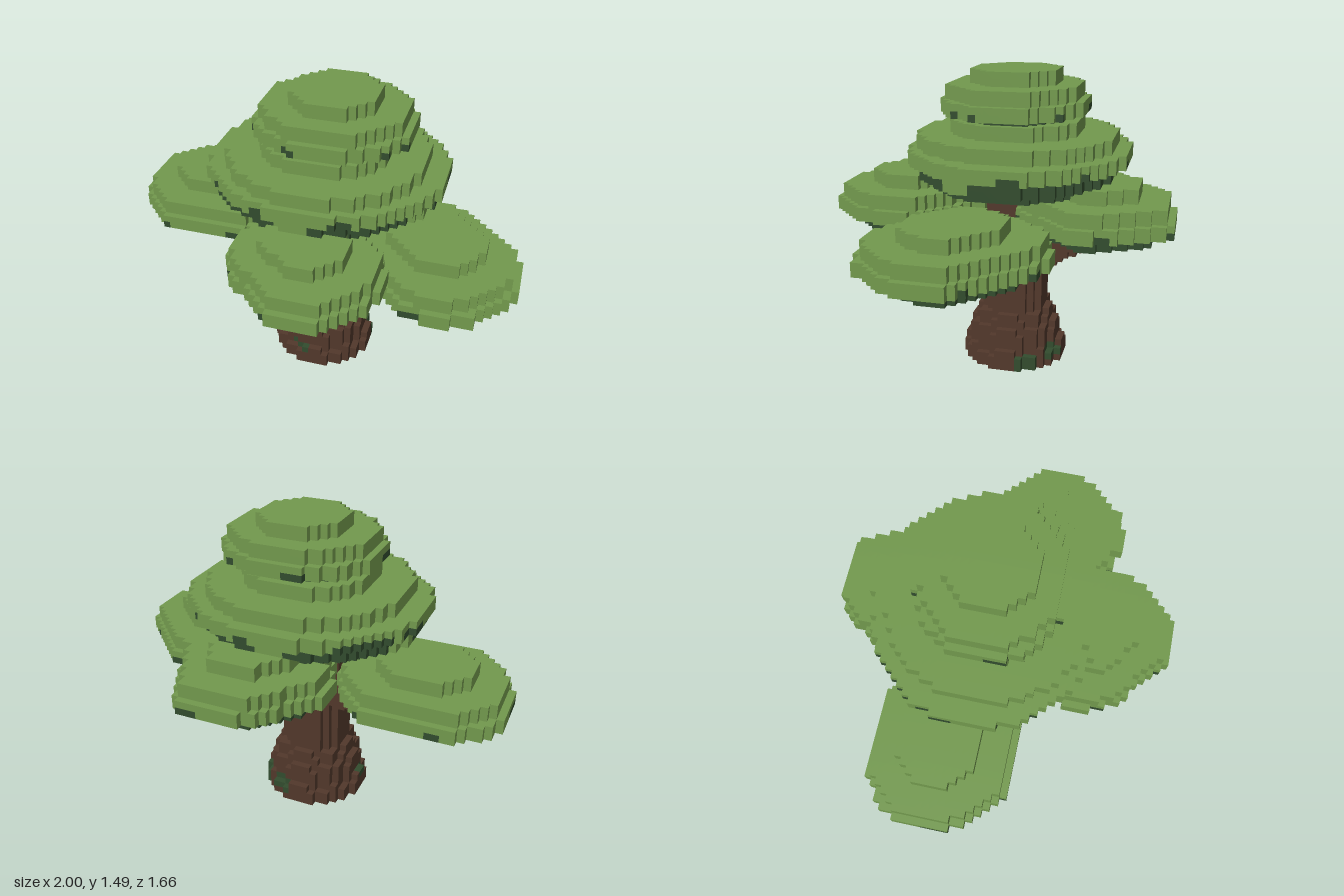
import * as THREE from 'three';

const S = 2 / 59;               // voxel size
const NX = 59, NY = 44, NZ = 49; // grid size

export function createModel() {
  const materials = {};
  for (const [name, hex] of [['leaf', 0x72994d], ['shadedLeaf', 0x324c2e], ['bark', 0x52382b]]) {
    materials[name] = new THREE.MeshStandardMaterial({ color: hex });
    materials[name].name = name;
  }

  // Voxel grid: each cell holds "part|material"
  const cells = new Map();
  const key = (i, j, k) => (j * NZ + k) * NX + i;
  const inGrid = (i, j, k) => i >= 0 && i < NX && j >= 0 && j < NY && k >= 0 && k < NZ;
  const get = (i, j, k) => (inGrid(i, j, k) ? cells.get(key(i, j, k)) : undefined);
  const set = (i, j, k, part, mat) => {
    if (inGrid(i, j, k)) cells.set(key(i, j, k), part + '|' + mat);
  };

  // Fill rows j0..j1 wherever inside(x, z) holds; mat may depend on the cell
  const fill = (part, j0, j1, inside, mat) => {
    for (let k = 0; k < NZ; k++) for (let i = 0; i < NX; i++) {
      if (!inside((i - 29) * S, (k - 24) * S)) continue;
      for (let j = j0; j < j1; j++) set(i, j, k, part, typeof mat === 'string' ? mat : mat(i, j, k));
    }
  };
  const ellipse = (cx, cz, rx, rz) => (x, z) => ((x - cx) / rx) ** 2 + ((z - cz) / rz) ** 2 <= 1;
  const polygon = (pts, cx, cz, scale) => (x, z) => {
    let hit = false;
    for (let a = 0, b = pts.length - 1; a < pts.length; b = a++) {
      const [ax, az] = pts[a].map((v) => v * scale), [bx, bz] = pts[b].map((v) => v * scale);
      const px = x - cx, pz = z - cz;
      if ((az > pz) !== (bz > pz) && px < ((bx - ax) * (pz - az)) / (bz - az) + ax) hit = !hit;
    }
    return hit;
  };
  // Patches of shaded leaves along the lowest row of a rim
  const rimLeaf = (row) => (i, j, k) =>
    j === row && Math.sin(i * 0.55 + k * 0.38) > 0.8 ? 'shadedLeaf' : 'leaf';

  // Trunk with a flared foot
  for (const [j0, j1, r] of [[0, 2, 0.258], [2, 5, 0.222], [5, 7, 0.192], [7, 28, 0.158]]) {
    fill('trunk', j0, j1, ellipse(0, -0.034, r, r), 'bark');
  }
  // Root ridges around the foot
  for (let n = 0; n < 8; n++) {
    const a = (n * Math.PI) / 4;
    for (const [j0, j1, d] of [[2, 3, 0.2], [5, 6, 0.17], [7, 8, 0.14]]) {
      fill('trunk', j0, j1, ellipse(Math.cos(a) * d, -0.034 + Math.sin(a) * d, 0.055, 0.055), 'bark');
    }
  }

  // Branches rising from the trunk to the boughs
  const branch = (part, from, to) => {
    const a = new THREE.Vector3(...from), b = new THREE.Vector3(...to), p = new THREE.Vector3();
    for (let n = 0; n <= 12; n++) {
      p.lerpVectors(a, b, n / 12);
      const j = Math.round(p.y / S);
      fill(part, j - 1, j + 2, ellipse(p.x, p.z, 0.07, 0.07), 'bark');
    }
  };
  branch('rightBranch', [-0.1, 0.54, -0.06], [-0.38, 0.66, -0.12]);
  branch('leftBranch', [0.1, 0.58, 0], [0.25, 0.64, 0.04]);
  branch('backBranch', [0.02, 0.54, -0.15], [0.08, 0.71, -0.4]);
  branch('frontBranch', [0, 0.66, 0.06], [0.05, 0.75, 0.3]);

  // Four side boughs: half an outline, completed by point symmetry
  const boughs = [
    ['rightBough', -0.6, -0.155, 19, [[0.2, -0.335], [-0.23, -0.335], [-0.37, -0.2], [-0.4, -0.13],
      [-0.4, 0.07], [-0.34, 0.195], [-0.27, 0.265]]],
    ['leftBough', 0.59, 0.1, 18, [[-0.03, -0.42], [0.07, -0.39], [0.24, -0.25], [0.34, -0.12],
      [0.41, -0.08], [0.41, 0.12], [0.34, 0.25], [0.21, 0.39], [0.07, 0.42]]],
    ['frontBough', 0.055, 0.455, 21, [[0.375, 0.05], [0.33, 0.17], [0.29, 0.25], [0.16, 0.375],
      [-0.08, 0.375], [-0.105, 0.31], [-0.245, 0.205], [-0.345, 0.1]]],
    ['backBough', 0.115, -0.455, 21, [[-0.37, 0], [-0.37, -0.1], [-0.27, -0.2], [-0.14, -0.345],
      [-0.06, -0.38], [0.2, -0.38], [0.27, -0.25], [0.335, -0.11]]],
  ];
  for (const [part, cx, cz, base, half] of boughs) {
    const outline = [...half, ...half.map(([x, z]) => [-x, -z])];
    [0.72, 1, 0.93, 0.56].forEach((scale, n) => {
      const j = base + n * 2;
      const mat = n === 0 ? 'shadedLeaf' : n === 1 ? rimLeaf(j) : 'leaf';
      fill(part, j, j + 2, polygon(outline, cx, cz, scale), mat);
    });
  }

  // Main canopy and crown: stacked ellipses
  const shadeBand = (i, j, k) => (Math.sin(i * 0.3 - k * 0.22 + 1) > 0.75 ? 'leaf' : 'shadedLeaf');
  const discs = [
    ['canopy', 27, 29, 0, -0.03, 0.4, 0.39, 'shadedLeaf'],
    ['canopy', 29, 31, 0.01, -0.06, 0.55, 0.475, shadeBand],
    ['canopy', 31, 33, 0.015, -0.068, 0.585, 0.535, rimLeaf(31)],
    ['canopy', 33, 35, 0.015, -0.055, 0.485, 0.485, 'leaf'],
    ['canopy', 35, 37, 0.015, -0.05, 0.315, 0.32, 'leaf'],
    ['crown', 37, 38, 0.03, -0.05, 0.26, 0.25, 'shadedLeaf'],
    ['crown', 38, 40, 0.05, -0.05, 0.38, 0.35, rimLeaf(38)],
    ['crown', 40, 42, 0.05, -0.05, 0.35, 0.32, 'leaf'],
    ['crown', 42, 44, 0.05, -0.05, 0.21, 0.21, 'leaf'],
  ];
  for (const [part, j0, j1, cx, cz, rx, rz, mat] of discs) {
    fill(part, j0, j1, ellipse(cx, cz, rx, rz), mat);
  }

  // Moss on the foot of the trunk
  for (const [x, z, j0, j1] of [[-0.07, 0.17, 2, 3], [-0.22, 0.0, 2, 3], [0.24, -0.135, 0, 2],
    [0.1, -0.24, 1, 3]]) {
    const patch = ellipse(x, z, 0.06, 0.05);
    for (let j = j0; j < j1; j++) for (let k = 0; k < NZ; k++) for (let i = 0; i < NX; i++) {
      if (get(i, j, k) && patch((i - 29) * S, (k - 24) * S)) set(i, j, k, 'moss', 'shadedLeaf');
    }
  }

  // Emit only the exposed voxel faces, one mesh per part and material
  const buffers = {};
  const emit = (label, c, axis, sign) => {
    const buf = (buffers[label] ??= { position: [], normal: [] });
    const u = (axis + 1) % 3, v = (axis + 2) % 3;
    const corner = (a, b) => {
      const p = [c[0] - 29, c[1] + 0.5, c[2] - 24];
      p[axis] += sign / 2;
      p[u] += a / 2;
      p[v] += (b * sign) / 2;
      return p.map((n) => n * S);
    };
    const normal = [0, 0, 0];
    normal[axis] = sign;
    for (const [a, b] of [[-1, -1], [1, -1], [1, 1], [-1, -1], [1, 1], [-1, 1]]) {
      buf.position.push(...corner(a, b));
      buf.normal.push(...normal);
    }
  };
  for (let j = 0; j < NY; j++) for (let k = 0; k < NZ; k++) for (let i = 0; i < NX; i++) {
    const label = get(i, j, k);
    if (!label) continue;
    for (let axis = 0; axis < 3; axis++) for (const sign of [-1, 1]) {
      const n = [i, j, k];
      n[axis] += sign;
      if (!get(...n)) emit(label, [i, j, k], axis, sign);
    }
  }

  const group = new THREE.Group();
  group.name = 'tree';
  for (const [label, buf] of Object.entries(buffers)) {
    const [part, mat] = label.split('|');
    const geometry = new THREE.BufferGeometry();
    for (const attr of ['position', 'normal']) {
      geometry.setAttribute(attr, new THREE.Float32BufferAttribute(buf[attr], 3));
    }
    const mesh = new THREE.Mesh(geometry, materials[mat]);
    mesh.name = mat === 'shadedLeaf' && part !== 'moss' ? part + 'Underside' : part;
    group.add(mesh);
  }
  return group;
}
